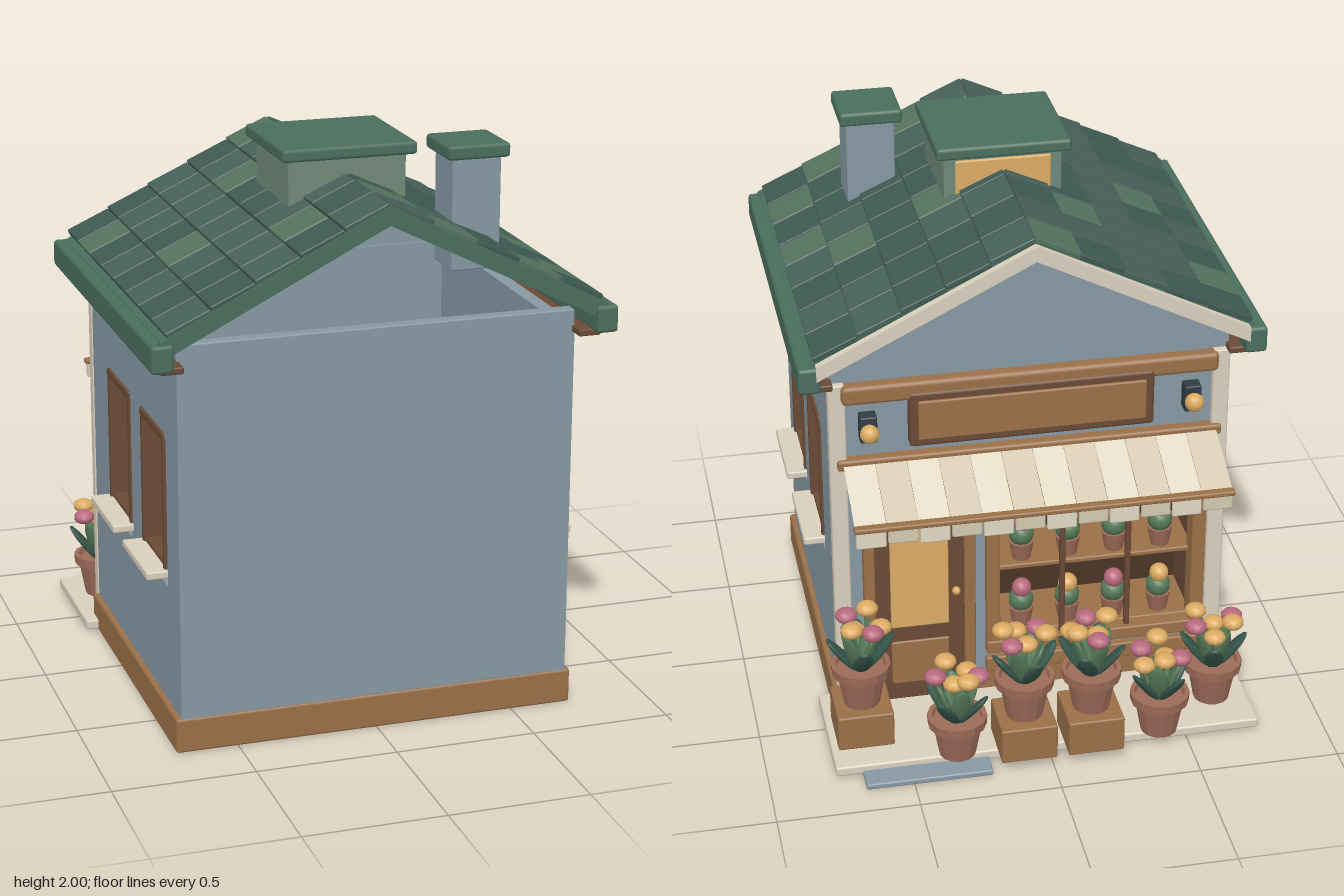
import * as THREE from 'three';
import { RoundedBoxGeometry } from 'three/addons/geometries/RoundedBoxGeometry.js';

const mat = (color, side = THREE.FrontSide) => new THREE.MeshStandardMaterial({ color, side });
const M = {
  wall: mat(0x8798a4), brown: mat(0x9a7048), dark: mat(0x6b4a36), deep: mat(0x4a3526),
  cream: mat(0xd9cfbc), amber: mat(0xdbac66), trim: mat(0x4a6e5e), cupola: mat(0x70897a),
  tileA: mat(0x3f5a53), tileB: mat(0x466159), tileC: mat(0x55735f), pot: mat(0x9c6b58),
  leaf: mat(0x35564a), leafB: mat(0x567a58), pink: mat(0xb8697d), yellow: mat(0xdcab62),
  black: mat(0x2f3b42), canvasA: mat(0xe2d9c5, THREE.DoubleSide), canvasB: mat(0xd4c9b2, THREE.DoubleSide),
};

function mesh(parent, name, geo, material, x = 0, y = 0, z = 0) {
  const m = new THREE.Mesh(geo, material);
  m.name = name;
  m.position.set(x, y, z);
  parent.add(m);
  return m;
}
// Box given by its low and high corners, with softened edges
function box(parent, name, material, [x0, x1], [y0, y1], [z0, z1], r = 0.006) {
  const w = x1 - x0, h = y1 - y0, d = z1 - z0;
  const geo = new RoundedBoxGeometry(w, h, d, 1, Math.min(r, w * 0.4, h * 0.4, d * 0.4));
  return mesh(parent, name, geo, material, (x0 + x1) / 2, (y0 + y1) / 2, (z0 + z1) / 2);
}
function group(parent, name, x = 0, y = 0, z = 0) {
  const g = new THREE.Group();
  g.name = name;
  g.position.set(x, y, z);
  parent.add(g);
  return g;
}
function rod(parent, name, material, a, b, r) {
  const A = new THREE.Vector3(...a), B = new THREE.Vector3(...b), d = B.clone().sub(A);
  const m = mesh(parent, name, new THREE.CylinderGeometry(r, r, d.length(), 8), material);
  m.position.copy(A.add(B).multiplyScalar(0.5));
  m.quaternion.setFromUnitVectors(new THREE.Vector3(0, 1, 0), d.normalize());
}
function extrude(points, depth, holes = []) {
  const path = p => p.map(([x, y]) => new THREE.Vector2(x, y));
  const shape = new THREE.Shape(path(points));
  for (const h of holes) shape.holes.push(new THREE.Path(path(h)));
  return new THREE.ExtrudeGeometry(shape, { depth, bevelEnabled: false });
}
const rect = (x0, x1, y0, y1) => [[x0, y0], [x1, y0], [x1, y1], [x0, y1]];

// Potted plant standing on y = 0: tapered pot, ring of leaves, cluster of blooms
function plant(parent, x, y, z, turn) {
  const g = group(parent, 'flowerPot', x, y, z);
  g.rotation.y = turn;
  const profile = [[0, 0], [0.065, 0], [0.088, 0.125], [0.104, 0.125], [0.106, 0.16], [0.09, 0.16], [0.086, 0.14], [0, 0.14]];
  const geo = new THREE.LatheGeometry(profile.map(p => new THREE.Vector2(...p)), 14).toNonIndexed();
  geo.computeVertexNormals();
  mesh(g, 'pot', geo, M.pot);
  for (let i = 0; i < 8; i++) {
    const a = i * Math.PI / 4, tilt = i % 2 ? 0.35 : 0.65;
    const arm = group(g, 'leafStem', 0, 0.13, 0);
    arm.rotation.set(0, a, -tilt, 'YXZ');
    mesh(arm, 'leaf', new THREE.SphereGeometry(1, 8, 6), i % 2 ? M.leafB : M.leaf, 0.01, 0.095, 0).scale.set(0.014, 0.09, 0.036);
  }
  for (let i = 0; i < 6; i++) {
    const a = i * Math.PI / 3, r = i ? 0.075 : 0.02;
    const px = r * Math.cos(a), pz = r * Math.sin(a), py = 0.3 + 0.02 * (i % 3);
    rod(g, 'stem', M.leafB, [0, 0.13, 0], [px, py, pz], 0.005);
    mesh(g, 'bloom', new THREE.SphereGeometry(1, 10, 7), i % 3 === 1 ? M.pink : M.yellow, px, py, pz).scale.set(0.04, 0.026, 0.04);
  }
}

function buildWalls(root) {
  const g = group(root, 'walls');
  box(g, 'plinth', M.brown, [-0.72, 0.72], [0, 0.125], [-0.42, 0.79], 0.01);
  box(g, 'backWall', M.wall, [-0.7, 0.7], [0.12, 1.45], [0.735, 0.785]);
  const holes = [rect(0.31, 0.63, 0.55, 1.07), rect(-0.18, 0.14, 0.55, 1.07)];
  for (const s of [1, -1]) {
    const side = mesh(g, 'sideWall', extrude(rect(-0.42, 0.785, 0.12, 1.4), 0.05, holes), M.wall, s > 0 ? 0.7 : -0.65);
    side.rotation.y = -Math.PI / 2;
    box(g, 'cornerPost', M.cream, s > 0 ? [0.645, 0.705] : [-0.705, -0.645], [0.045, 1.37], [-0.445, -0.4]);
    // Deep window boxes with sills
    for (const z of [0.465, -0.005]) {
      const w = group(g, 'sideWindow', 0, 0, z);
      const X = (a, b) => s > 0 ? [a, b] : [-b, -a];
      for (const t of [1, -1])
        box(w, 'windowJamb', M.dark, X(0.56, 0.708), [0.6, 1.09], t > 0 ? [0.13, 0.155] : [-0.155, -0.13]);
      box(w, 'windowHead', M.dark, X(0.56, 0.71), [1.065, 1.095], [-0.155, 0.155]);
      box(w, 'windowBottom', M.dark, X(0.56, 0.7), [0.595, 0.62], [-0.155, 0.155]);
      box(w, 'pane', M.amber, X(0.57, 0.585), [0.62, 1.055], [-0.125, 0.125]);
      box(w, 'mullion', M.dark, X(0.585, 0.6), [0.62, 1.07], [-0.008, 0.008]);
      box(w, 'sill', M.cream, X(0.66, 0.775), [0.58, 0.608], [-0.17, 0.17]);
    }
  }
  const openings = [rect(-0.6, 0.12, 0.26, 0.98)];
  mesh(g, 'frontWall', extrude(rect(-0.7, 0.7, 0.12, 1.4), 0.04, openings), M.wall, 0, 0, -0.42);
  mesh(g, 'gable', extrude([[-0.7, 1.38], [0.7, 1.38], [0.7, 1.47], [0, 1.825], [-0.7, 1.47]], 0.04), M.wall, 0, 0, -0.43);
}

function buildRoof(root) {
  const g = group(root, 'roof'), k = 0.503, slope = Math.atan(k);
  const chevron = (top, low, x) => [[0, top], [-x, top - k * x], [-x, low - k * x], [0, low], [x, low - k * x], [x, top - k * x]];
  mesh(g, 'roofDeck', extrude(chevron(1.875, 1.835, 0.77), 1.37), M.trim, 0, 0, -0.5);
  mesh(g, 'backRake', extrude(chevron(1.885, 1.82, 0.78), 0.025), M.trim, 0, 0, 0.86);
  mesh(g, 'frontRake', extrude(chevron(1.87, 1.815, 0.75), 0.03), M.cream, 0, 0, -0.528);
  // Tiles, five courses of eight on each slope
  for (const s of [1, -1]) for (let i = 0; i < 5; i++) for (let j = 0; j < 8; j++) {
    const x = 0.077 + 0.151 * i, n = (i * 7 + j * 5 + (s > 0 ? 3 : 0) + i * j * 3) % 11;
    const m = n < 2 ? M.tileC : n < 6 ? M.tileB : M.tileA;
    const t = mesh(g, 'roofTile', new RoundedBoxGeometry(0.168, 0.02, 0.168, 1, 0.004), m, s * x, 1.889 - k * x, -0.426 + 0.1745 * j);
    t.rotation.z = -s * (slope - 0.04);
  }
  for (const s of [1, -1]) {
    const X = (a, b) => s > 0 ? [a, b] : [-b, -a];
    box(g, 'eave', M.trim, X(0.735, 0.812), [1.39, 1.485], [-0.525, 0.9], 0.012);
    box(g, 'eaveBeam', M.dark, X(0.69, 0.77), [1.37, 1.395], [-0.48, 0.85]);
  }
  box(g, 'chimney', M.wall, [0.325, 0.5], [1.56, 1.96], [0.41, 0.585]);
  box(g, 'chimneyCap', M.trim, [0.3, 0.525], [1.95, 2], [0.38, 0.61], 0.012);
  box(g, 'cupola', M.cupola, [-0.21, 0.21], [1.755, 1.96], [0.06, 0.44]);
  box(g, 'cupolaPane', M.amber, [-0.17, 0.17], [1.8, 1.935], [0.05, 0.065]);
  box(g, 'cupolaCap', M.trim, [-0.24, 0.24], [1.95, 1.995], [0.025, 0.475], 0.012);
}

function buildShopFront(root) {
  const g = group(root, 'shopFront');
  box(g, 'upperBeam', M.brown, [-0.66, 0.66], [1.3, 1.37], [-0.47, -0.41], 0.015);
  box(g, 'awningBeam', M.brown, [-0.68, 0.68], [1.04, 1.08], [-0.46, -0.41], 0.01);
  box(g, 'signFrame', M.dark, [-0.43, 0.43], [1.12, 1.33], [-0.475, -0.42], 0.012);
  box(g, 'signBoard', M.brown, [-0.4, 0.4], [1.15, 1.3], [-0.485, -0.46]);
  for (const x of [-0.57, 0.57]) {
    const l = group(g, 'wallLamp', x, 1.2, -0.44);
    box(l, 'lampPlate', M.black, [-0.03, 0.03], [-0.05, 0.05], [-0.03, 0.03]);
    mesh(l, 'lampGlobe', new THREE.SphereGeometry(0.034, 12, 8), M.yellow, 0, -0.005, -0.045);
  }
  // Door
  const d = group(g, 'door', 0.4, 0, -0.42);
  box(d, 'doorLeaf', M.dark, [-0.16, 0.16], [0.05, 0.96], [-0.015, 0.01]);
  box(d, 'doorPane', M.amber, [-0.105, 0.105], [0.36, 0.88], [-0.022, 0]);
  box(d, 'doorPanel', M.brown, [-0.105, 0.105], [0.12, 0.3], [-0.022, 0]);
  for (const x of [-0.18, 0.18]) box(d, 'doorJamb', M.brown, [x - 0.02, x + 0.02], [0.045, 1], [-0.035, 0.01]);
  box(d, 'doorHead', M.brown, [-0.2, 0.2], [0.96, 1], [-0.035, 0.01]);
  mesh(d, 'doorKnob', new THREE.SphereGeometry(0.016, 8, 6), M.yellow, -0.13, 0.5, -0.03);
  // Display window with shelves of small potted blooms
  const w = group(g, 'displayWindow', -0.24, 0, -0.42);
  box(w, 'displayBack', M.deep, [-0.38, 0.38], [0.24, 1], [0.27, 0.29]);
  for (const s of [1, -1]) {
    box(w, 'displayJamb', M.brown, [s * 0.375 - 0.025, s * 0.375 + 0.025], [0.22, 1.02], [-0.03, 0.05]);
    box(w, 'displaySide', M.dark, [s * 0.375 - 0.01, s * 0.375 + 0.01], [0.24, 1], [0.04, 0.28]);
    box(w, 'displayMullion', M.dark, [s * 0.12 - 0.01, s * 0.12 + 0.01], [0.25, 0.98], [-0.015, 0.01]);
  }
  for (const y of [0.24, 0.98]) box(w, 'displayRail', M.brown, [-0.4, 0.4], [y - 0.025, y + 0.025], [-0.035, 0.05]);
  box(w, 'apron', M.brown, [-0.4, 0.4], [0.13, 0.19], [-0.025, 0.01]);
  for (const y of [0.27, 0.55]) {
    box(w, 'shelf', M.brown, [-0.37, 0.37], [y - 0.02, y], [0.02, 0.27]);
    for (let i = 0; i < 4; i++) {
      const x = -0.255 + 0.17 * i;
      mesh(w, 'smallPot', new THREE.CylinderGeometry(0.045, 0.033, 0.07, 10), M.pot, x, y + 0.035, 0.07);
      mesh(w, 'smallLeaves', new THREE.SphereGeometry(0.046, 10, 7), M.leafB, x, y + 0.1, 0.07);
      mesh(w, 'smallBloom', new THREE.SphereGeometry(0.036, 10, 7), i % 2 ? M.pink : M.yellow, x, y + 0.155, 0.06);
    }
  }
  // Striped awning, valance flaps and struts
  const a = group(g, 'awning'), drop = 0.115, out = 0.26;
  for (let i = 0; i < 12; i++) {
    const x = -0.605 + 0.11 * i, m = i % 2 ? M.canvasA : M.canvasB;
    const strip = mesh(a, 'awningStripe', new THREE.PlaneGeometry(0.109, Math.hypot(drop, out)), m, x, 1.07 - drop / 2, -0.44 - out / 2);
    strip.rotation.x = Math.PI / 2 - Math.atan2(drop, out);
    const low = i % 2 ? 0.88 : 0.89;
    box(a, 'valanceFlap', m, [x - 0.052, x + 0.052], [low, 0.955], [-0.713, -0.695]);
  }
  box(a, 'awningBar', M.brown, [-0.665, 0.665], [0.943, 0.962], [-0.72, -0.685]);
  for (const x of [-0.63, 0.63]) rod(a, 'awningStrut', M.dark, [x, 0.885, -0.43], [x, 0.95, -0.71], 0.009);
}

function buildForecourt(root) {
  const g = group(root, 'forecourt');
  box(g, 'platform', M.cream, [-0.765, 0.765], [0.008, 0.045], [-0.8, -0.34], 0.008);
  box(g, 'doorStep', M.wall, [0.22, 0.67], [0, 0.022], [-0.885, -0.6]);
  // [x, z, stands on a crate]
  const spots = [[0.64, -0.595, 1], [0.33, -0.78, 0], [0.09, -0.78, 1], [-0.15, -0.78, 1], [-0.4, -0.78, 0], [-0.635, -0.62, 0]];
  spots.forEach(([x, z, crate], i) => {
    if (crate) box(g, 'crate', M.brown, [x - 0.1, x + 0.1], [0.045, 0.18], [z - 0.105, z + 0.105]);
    plant(g, x, crate ? 0.18 : 0.045, z, i * 0.9);
  });
}

export function createModel() {
  const root = new THREE.Group();
  root.name = 'flowerShop';
  buildWalls(root);
  buildRoof(root);
  buildShopFront(root);
  buildForecourt(root);
  return root;
}
